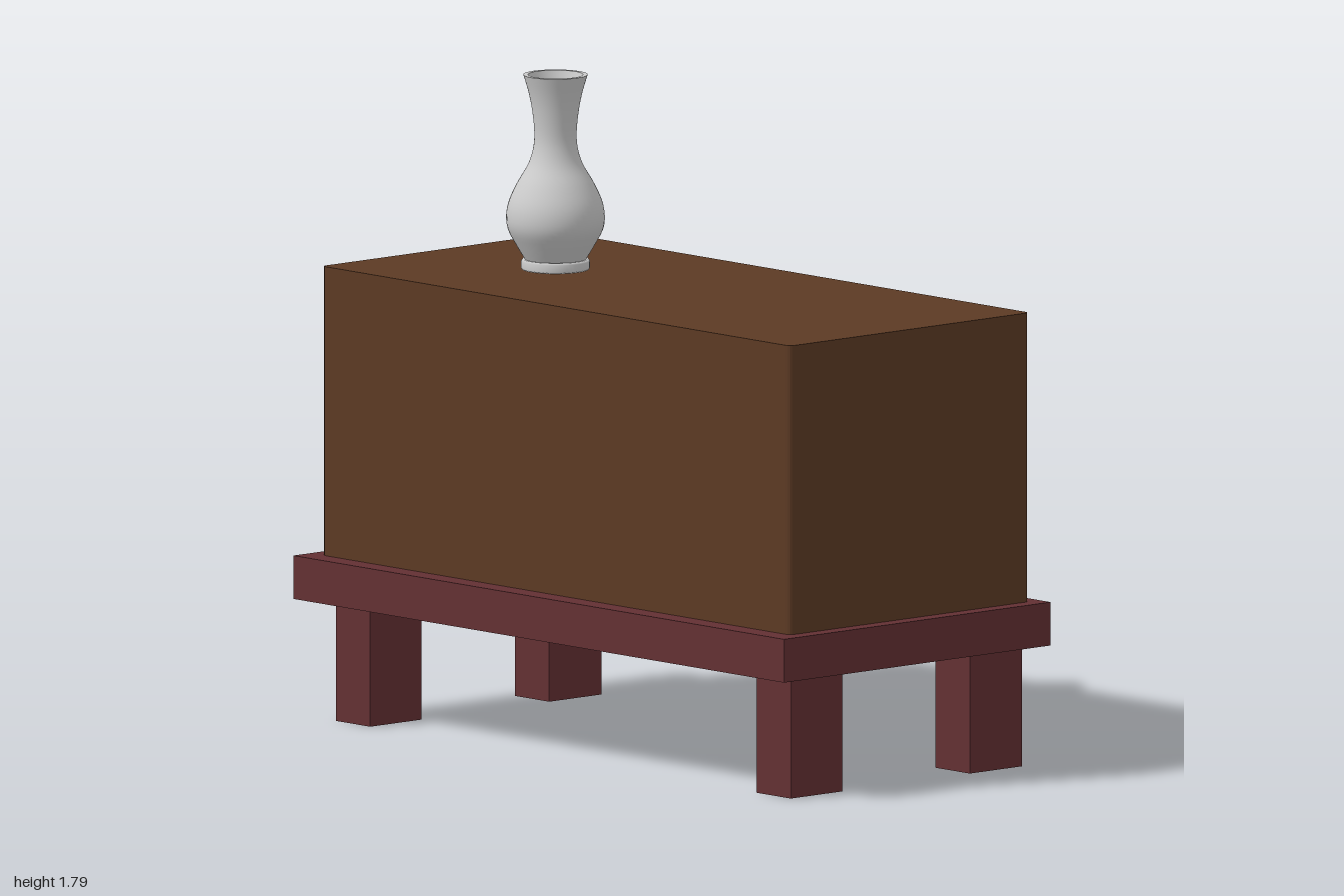
import * as THREE from 'three';

const mat = (color) => new THREE.MeshStandardMaterial({ color });

export function createModel() {
  const model = new THREE.Group();
  const wood = mat(0x5c3a24), redWood = mat(0x633033), brass = mat(0x80581a), clay = mat(0xcccccc);
  clay.side = THREE.DoubleSide;

  const add = (name, geometry, material, parent = model) => {
    const mesh = new THREE.Mesh(geometry, material);
    mesh.name = name;
    parent.add(mesh);
    return mesh;
  };
  // box given by its limits on each axis
  const box = (name, x0, x1, y0, y1, z0, z1, material) =>
    add(name, new THREE.BoxGeometry(x1 - x0, y1 - y0, z1 - z0), material)
      .position.set((x0 + x1) / 2, (y0 + y1) / 2, (z0 + z1) / 2);

  // base platform and four legs
  box('platform', -0.505, 0.478, 0.335, 0.455, -1, 1, redWood);
  for (const [x0, x1] of [[-0.43, -0.24], [0.23, 0.423]])
    for (const [z0, z1] of [[0.805, 0.945], [-0.91, -0.77]])
      box('leg', x0, x1, 0, 0.336, z0, z1, redWood);

  // cabinet: plan outlines with rounded corners, extruded upwards
  const X = 0.442, Z = 0.955, R = 0.02;
  const plan = (niche) => {
    const s = new THREE.Shape();
    s.moveTo(-X + R, -Z);
    s.lineTo(X - R, -Z);
    s.quadraticCurveTo(X, -Z, X, -Z + R);
    if (niche) {
      s.lineTo(X, -0.31);
      s.lineTo(-0.41, -0.31);
      s.lineTo(-0.41, 0.305);
      s.lineTo(X, 0.305);
    }
    s.lineTo(X, Z - R);
    s.quadraticCurveTo(X, Z, X - R, Z);
    s.lineTo(-X + R, Z);
    s.quadraticCurveTo(-X, Z, -X, Z - R);
    s.lineTo(-X, -Z + R);
    s.quadraticCurveTo(-X, -Z, -X + R, -Z);
    return s;
  };
  const layer = (name, y0, y1, niche) => {
    const g = new THREE.ExtrudeGeometry(plan(niche), { depth: y1 - y0, bevelEnabled: false, curveSegments: 4 });
    g.rotateX(-Math.PI / 2);
    add(name, g, wood).position.y = y0;
  };
  layer('cabinetLower', 0.455, 0.865, false);
  layer('cabinetUpper', 0.865, 1.248, true);
  layer('cabinetTop', 1.248, 1.255, false);

  // drawer front with softened corners, facing +x
  const drawerFront = (z0, z1, y0, y1) => {
    const w = (z1 - z0) / 2, h = (y1 - y0) / 2, r = 0.012;
    const s = new THREE.Shape();
    s.moveTo(-w + r, -h);
    s.lineTo(w - r, -h);
    s.quadraticCurveTo(w, -h, w, -h + r);
    s.lineTo(w, h - r);
    s.quadraticCurveTo(w, h, w - r, h);
    s.lineTo(-w + r, h);
    s.quadraticCurveTo(-w, h, -w, h - r);
    s.lineTo(-w, -h + r);
    s.quadraticCurveTo(-w, -h, -w + r, -h);
    const g = new THREE.ExtrudeGeometry(s, { depth: 0.023, bevelEnabled: false, curveSegments: 3 });
    g.rotateY(Math.PI / 2);
    return g;
  };
  // bowed pull handle with a small mount at each end
  const bow = new THREE.CatmullRomCurve3([
    [0.45, -0.072], [0.472, -0.066], [0.49, -0.04], [0.498, 0], [0.49, 0.04], [0.472, 0.066], [0.45, 0.072],
  ].map(([x, z]) => new THREE.Vector3(x, 0, z)));
  const bowGeometry = new THREE.TubeGeometry(bow, 24, 0.004, 6);
  const mountGeometry = new THREE.CylinderGeometry(0.004, 0.011, 0.016, 8).rotateZ(-Math.PI / 2);

  // z range, y range, handle centre z and y
  const drawers = [
    [0.375, 0.905, 0.885, 1.225, 0.63, 1.057],
    [-0.9, -0.37, 0.885, 1.225, -0.63, 1.057],
    [0.38, 0.9, 0.48, 0.825, 0.66, 0.655],
    [-0.27, 0.275, 0.485, 0.82, 0.025, 0.655],
    [-0.895, -0.375, 0.48, 0.825, -0.64, 0.655],
  ];
  for (const [z0, z1, y0, y1, hz, hy] of drawers) {
    add('drawerFront', drawerFront(z0, z1, y0, y1), wood).position.set(0.43, (y0 + y1) / 2, (z0 + z1) / 2);
    const handle = new THREE.Group();
    handle.name = 'drawerHandle';
    handle.position.set(0, hy, hz);
    add('handleBow', bowGeometry, brass, handle);
    for (const side of [-1, 1])
      add('handleMount', mountGeometry, brass, handle).position.set(0.46, 0, side * 0.072);
    model.add(handle);
  }

  // vase: foot ring, and a hollow body turned from a smooth outline
  const foot = [[0, 0], [0.092, 0], [0.094, 0.004], [0.094, 0.023], [0.09, 0.028], [0.07, 0.029]];
  const outline = new THREE.SplineCurve([
    [0.083, 0.026], [0.108, 0.068], [0.13, 0.11], [0.135, 0.148], [0.127, 0.19], [0.104, 0.24],
    [0.075, 0.29], [0.061, 0.335], [0.058, 0.38], [0.064, 0.44], [0.074, 0.49], [0.088, 0.538],
  ].map(([r, y]) => new THREE.Vector2(r, y))).getPoints(40);
  const inside = outline.slice().reverse().map((p) => new THREE.Vector2(p.x - 0.013, Math.max(p.y, 0.036)));
  inside.push(new THREE.Vector2(0, 0.036));
  const vase = new THREE.Group();
  vase.name = 'vase';
  vase.position.set(0, 1.255, -0.49);
  add('vaseFoot', new THREE.LatheGeometry(foot.map(([r, y]) => new THREE.Vector2(r, y)), 48), clay, vase);
  add('vaseBody', new THREE.LatheGeometry(outline, 48), clay, vase);
  add('vaseInside', new THREE.LatheGeometry(inside, 48), clay, vase);
  const rim = new THREE.RingGeometry(0.075, 0.088, 48).rotateX(-Math.PI / 2);
  add('vaseRim', rim, clay, vase).position.y = 0.538;
  model.add(vase);

  return model;
}
